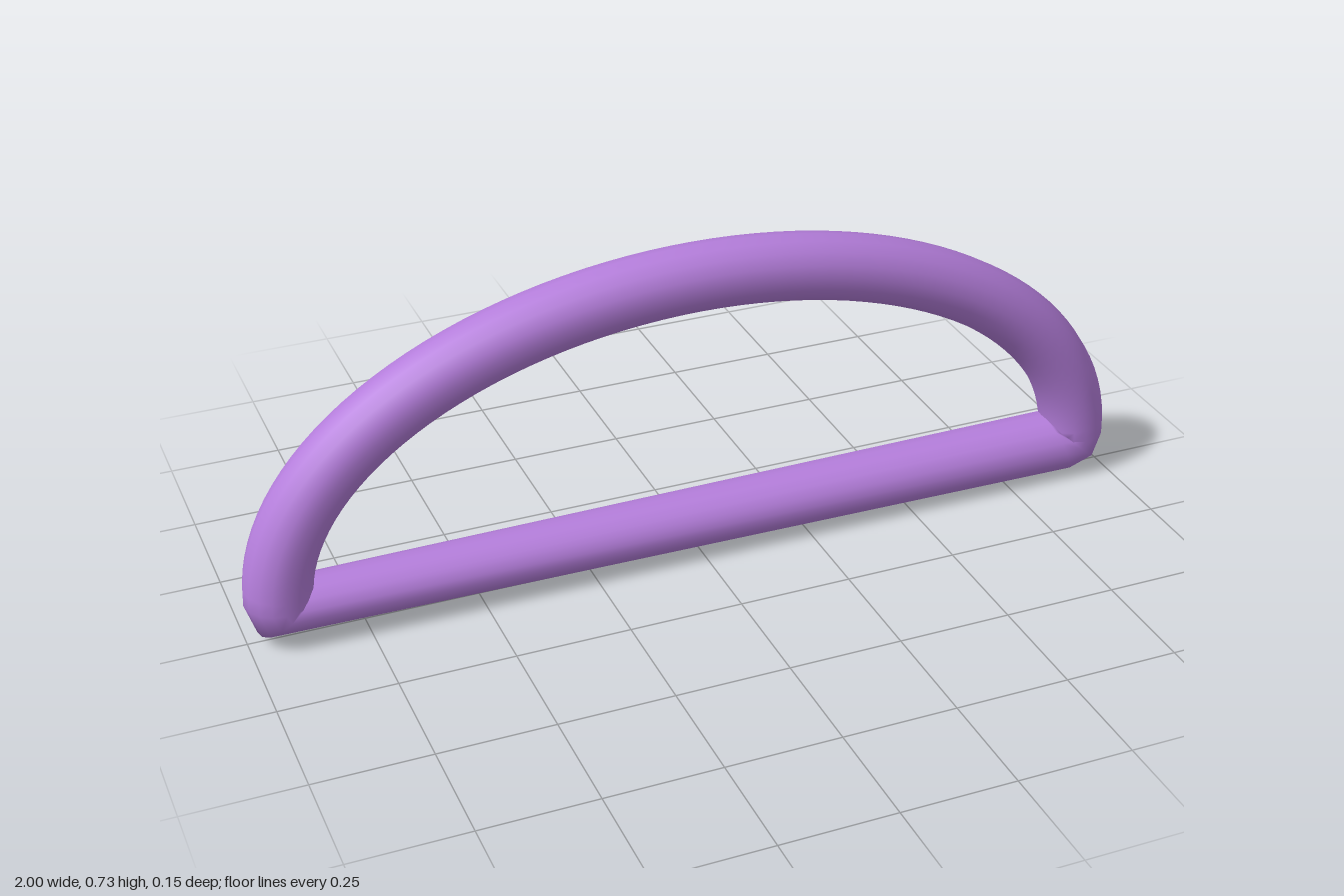
import * as THREE from 'three';

const TUBE = 0.073, SIDES = 16, STEPS = 64;

// Each ring: centre (x, y) and the offset (ox, oy) to its outermost point
function makeRings() {
  const rings = [];
  // Half-elliptical arch, from the left foot over the top to the right foot
  const rx = 0.927, ry = 0.561, baseY = 0.1;
  for (let i = 0; i <= STEPS; i++) {
    const t = (i / STEPS) * Math.PI;
    const n = new THREE.Vector2(Math.cos(t) / rx, Math.sin(t) / ry).setLength(TUBE);
    rings.push([rx * Math.cos(t), baseY + ry * Math.sin(t), n.x, n.y]);
  }
  // Mitred corners; the straight bar spans the first two
  rings.push([-0.917, 0.08, -0.06, -0.05]);
  rings.push([0.882, 0.077, 0.03, -0.072]);
  rings.push([0.919, 0.083, 0.057, -0.052]);
  return rings;
}

// Closed smooth tube lofted through the rings
function loft(rings) {
  const pos = [], index = [];
  const count = rings.length;
  rings.forEach(([x, y, ox, oy], i) => {
    for (let j = 0; j < SIDES; j++) {
      const a = (j / SIDES) * Math.PI * 2;
      pos.push(x + ox * Math.cos(a), y + oy * Math.cos(a), TUBE * Math.sin(a));
      const k = (j + 1) % SIDES, n = (i + 1) % count;
      const p = i * SIDES + j, q = n * SIDES + j, r = n * SIDES + k, s = i * SIDES + k;
      index.push(p, q, s, q, r, s);
    }
  });
  const geo = new THREE.BufferGeometry();
  geo.setAttribute('position', new THREE.Float32BufferAttribute(pos, 3));
  geo.setIndex(index);
  geo.computeVertexNormals();
  return geo;
}

export function createModel() {
  const group = new THREE.Group();
  group.name = 'dRing';
  const lavender = new THREE.MeshStandardMaterial({ color: 0xb57edc, side: THREE.DoubleSide });
  lavender.name = 'lavender';
  const ring = new THREE.Mesh(loft(makeRings()), lavender);
  ring.name = 'archAndBar';
  group.add(ring);
  return group;
}
